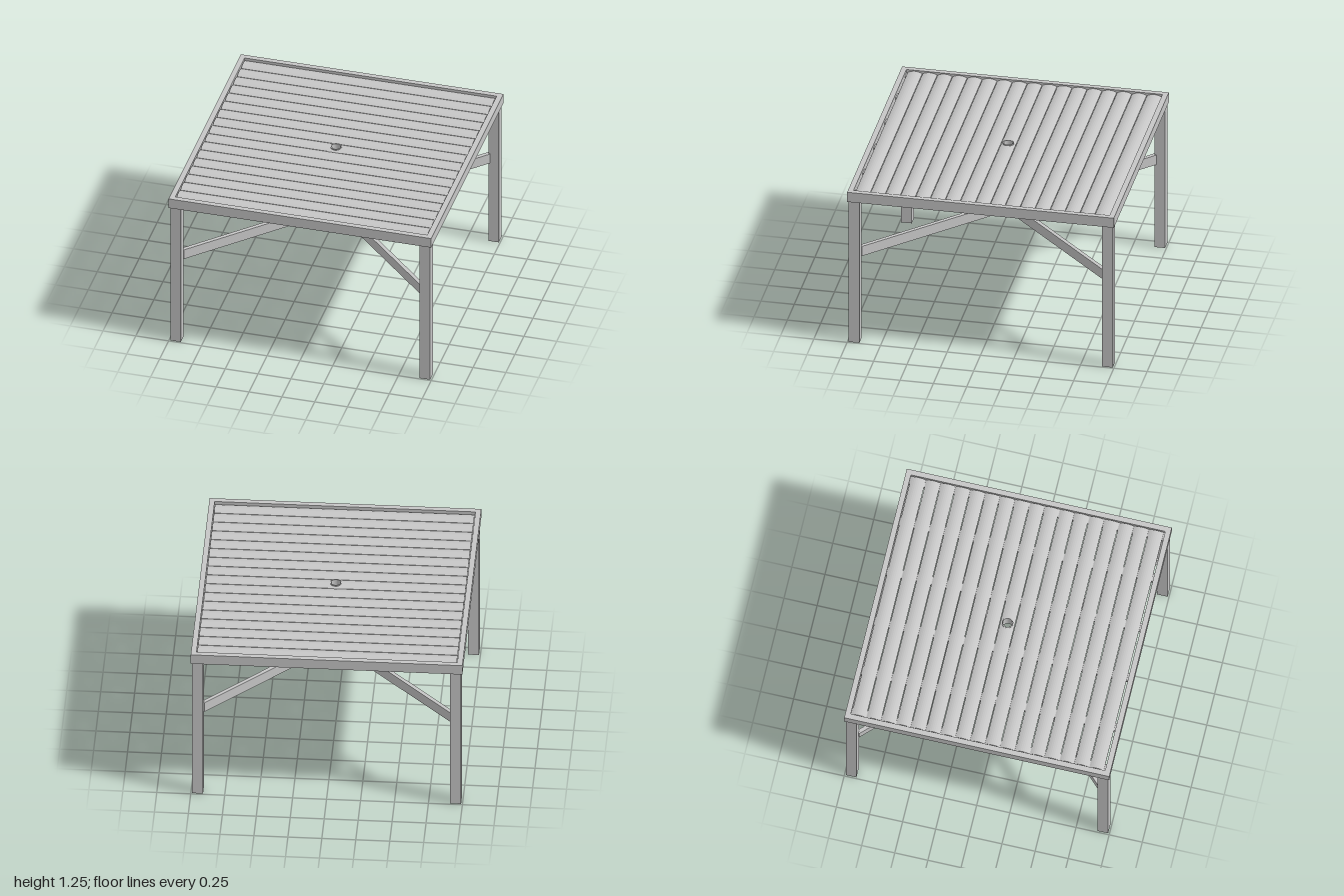
import * as THREE from 'three';

const TOP = 1.245, RISE = 0.014, SKIN = 0.008, PITCH = 0.1122, HALF = 0.0543;
const metal = new THREE.MeshStandardMaterial({ color: 0xc6c6c6, side: THREE.DoubleSide });
metal.name = 'light grey metal';

// Height of a slat's arched surface across its width
const arch = (z) => TOP - RISE * (z / HALF) ** 2;

function add(parent, name, geometry, x = 0, y = 0, z = 0) {
  const mesh = new THREE.Mesh(geometry, metal);
  mesh.name = name;
  mesh.position.set(x, y, z);
  parent.add(mesh);
  return mesh;
}

// Upright square tube, open at both ends
function squareTube(half, wall, height) {
  const square = (s, Type) => new Type([[-s, -s], [s, -s], [s, s], [-s, s]].map(([a, b]) => new THREE.Vector2(a, b)));
  const shape = square(half, THREE.Shape);
  shape.holes.push(square(half - wall, THREE.Path));
  const g = new THREE.ExtrudeGeometry(shape, { depth: height, bevelEnabled: false });
  return g.rotateX(-Math.PI / 2);
}

// Upright round tube with a square-cut wall
function roundTube(outer, inner, y0, y1) {
  const shape = new THREE.Shape().absarc(0, 0, outer, 0, Math.PI * 2);
  shape.holes.push(new THREE.Path().absarc(0, 0, inner, 0, Math.PI * 2, true));
  const g = new THREE.ExtrudeGeometry(shape, { depth: y1 - y0, bevelEnabled: false, curveSegments: 20 });
  return g.rotateX(-Math.PI / 2).translate(0, y0, 0);
}

// Thin arched slat running along x
function slatGeometry(length) {
  const upper = [];
  for (let i = 0; i <= 8; i++) {
    const z = -HALF + (i / 8) * 2 * HALF;
    upper.push(new THREE.Vector2(z, arch(z)));
  }
  const lower = upper.map((p) => new THREE.Vector2(p.x, p.y - SKIN)).reverse();
  const g = new THREE.ExtrudeGeometry(new THREE.Shape([...upper, ...lower]), { depth: length, bevelEnabled: false });
  return g.translate(0, 0, -length / 2).rotateY(Math.PI / 2);
}

// Arched square patch with a round hole, lying at a given drop below the slat top
function holePatch(radius, drop) {
  const pos = [], idx = [], N = 48, R = 4;
  for (let i = 0; i <= N; i++) {
    const a = (i / N) * Math.PI * 2, c = Math.cos(a), s = Math.sin(a);
    const edge = HALF / Math.max(Math.abs(c), Math.abs(s));
    for (let j = 0; j <= R; j++) {
      const r = radius + (edge - radius) * (j / R);
      pos.push(c * r, arch(s * r) - drop, s * r);
      if (i < N && j < R) {
        const k = i * (R + 1) + j, n = k + R + 1;
        idx.push(k, n, k + 1, k + 1, n, n + 1);
      }
    }
  }
  const g = new THREE.BufferGeometry();
  g.setAttribute('position', new THREE.Float32BufferAttribute(pos, 3));
  g.setIndex(idx);
  g.computeVertexNormals();
  return g;
}

export function createModel() {
  const table = new THREE.Group();
  table.name = 'slattedTable';

  // Square rim around the top
  add(table, 'topFrame', squareTube(1, 0.04, 0.08), 0, 1.17, 0);

  // Seventeen slats; the middle one is parted round the parasol hole
  const slats = new THREE.Group();
  slats.name = 'slats';
  table.add(slats);
  const full = slatGeometry(1.91);
  const piece = 0.955 - HALF;
  const part = slatGeometry(piece);
  for (let i = -8; i <= 8; i++) {
    if (i) add(slats, 'slat', full, 0, 0, i * PITCH - 0.003);
    else {
      for (const s of [-1, 1]) add(slats, 'middleSlat', part, s * (HALF + piece / 2), 0, -0.003);
      for (const d of [0, SKIN]) add(slats, 'middleSlatHole', holePatch(0.038, d), 0, 0, -0.003);
    }
  }

  // Bars below the slats
  for (const x of [-0.93, -0.6, -0.2, 0.2, 0.6, 0.93]) {
    add(table, 'supportBar', new THREE.BoxGeometry(0.06, 0.03, 1.92), x, 1.207, 0);
  }

  // Parasol sleeve with a wider collar at each end
  add(table, 'parasolSleeve', roundTube(0.037, 0.034, 1.14, 1.245), 0, 0, -0.003);
  add(table, 'sleeveRim', roundTube(0.042, 0.034, 1.242, 1.249), 0, 0, -0.003);
  add(table, 'sleeveCollar', roundTube(0.041, 0.034, 1.14, 1.17), 0, 0, -0.003);

  // Legs and the diagonal braces that meet at a ring
  const legGeometry = squareTube(0.04, 0.005, 1.17);
  const inner = 0.037, outer = 0.915 * Math.SQRT2;
  const braceGeometry = new THREE.BoxGeometry(outer - inner, 0.08, 0.03).translate((inner + outer) / 2, 0, 0);
  for (const sx of [-1, 1]) {
    for (const sz of [-1, 1]) {
      add(table, 'leg', legGeometry, sx * 0.95, 0, sz * 0.95);
      add(table, 'brace', braceGeometry, 0, 0.73, 0).rotation.y = Math.atan2(-sz, sx);
    }
  }
  add(table, 'braceRing', roundTube(0.04, 0.035, 0.69, 0.77));

  return table;
}
